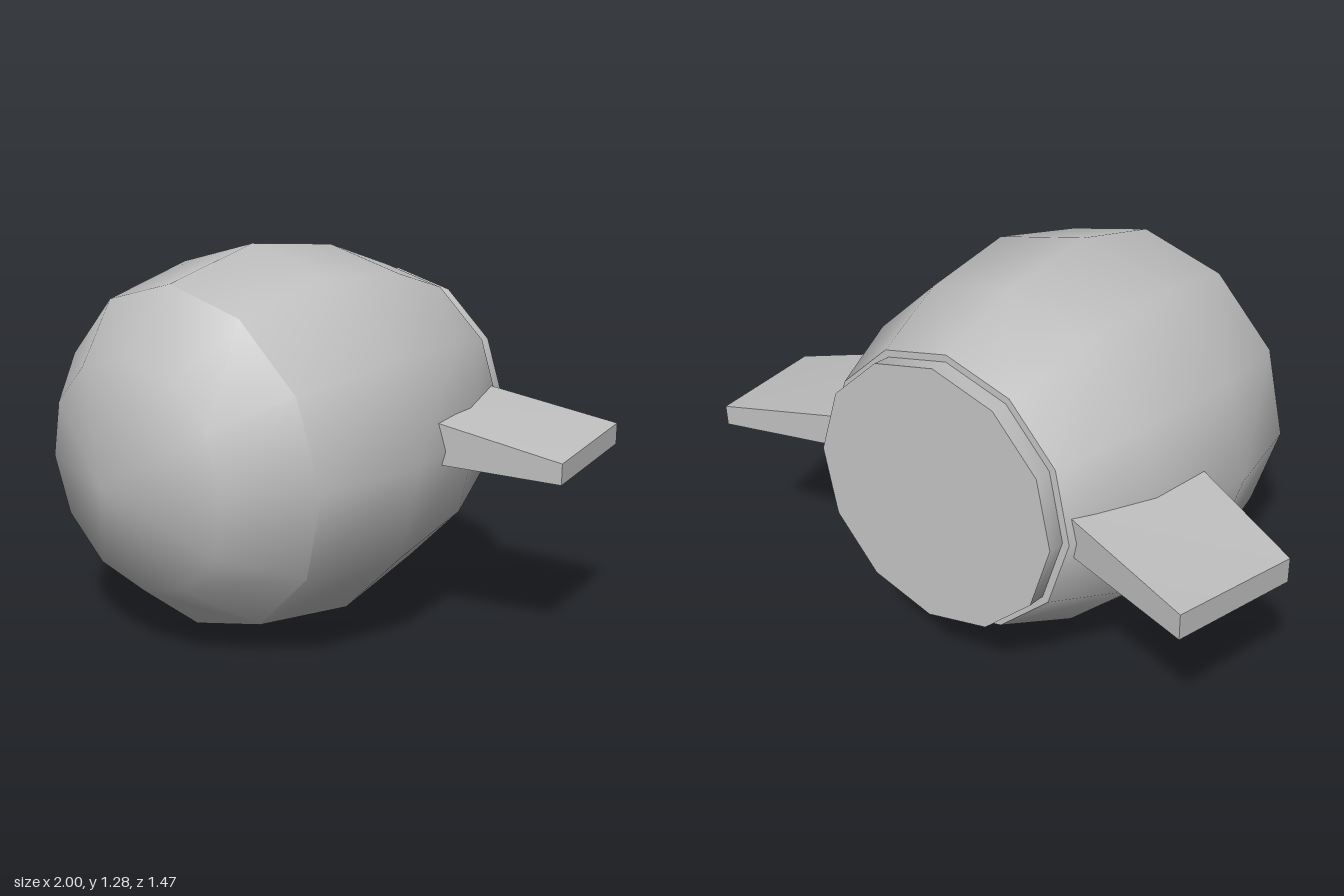
import * as THREE from 'three';
import { mergeVertices } from 'three/addons/utils/BufferGeometryUtils.js';

const metal = new THREE.MeshStandardMaterial({ color: 0xbfbfbf });
metal.name = 'grey';

// Twelve-sided turned shell along z, smooth inside one profile; points are [radius, z], rear to front
function shell(name, points) {
  let geo = new THREE.LatheGeometry(points.map(([r, z]) => new THREE.Vector2(r, z)), 12);
  geo.deleteAttribute('normal');
  geo.deleteAttribute('uv');
  geo = mergeVertices(geo, 1e-4);
  geo.computeVertexNormals();
  geo.rotateX(Math.PI / 2);
  const mesh = new THREE.Mesh(geo, metal);
  mesh.name = name;
  return mesh;
}

// Tapered fin: box corners moved to [x, z, top y, bottom y] for each upright edge
function fin(name, side, drop) {
  const edges = {
    outerFront: [1.0, -0.255, 0.66, 0.592],
    outerBack: [0.91, -0.705, 0.70, 0.63],
    innerFront: [0.5, -0.09, 0.772, 0.618],
    innerBack: [0.4, -0.595, 0.787, 0.665],
  };
  const geo = new THREE.BoxGeometry(1, 1, 1);
  const p = geo.attributes.position;
  for (let i = 0; i < p.count; i++) {
    const key = (p.getX(i) * side > 0 ? 'outer' : 'inner') + (p.getZ(i) > 0 ? 'Front' : 'Back');
    const [x, z, top, bottom] = edges[key];
    p.setXYZ(i, x * side, p.getY(i) > 0 ? top : bottom - drop, z);
  }
  geo.computeVertexNormals();
  const mesh = new THREE.Mesh(geo, metal);
  mesh.name = name;
  return mesh;
}

export function createModel() {
  const model = new THREE.Group();
  model.name = 'finnedPod';

  // Hull, slightly wide and tipped nose-down
  const hull = new THREE.Group();
  hull.name = 'hull';
  hull.position.set(0, 0.643, 0.025);
  hull.rotation.x = THREE.MathUtils.degToRad(5);
  hull.scale.x = 1.053;
  hull.add(
    shell('nose', [[0.572, 0.367], [0.381, 0.58], [0, 0.713]]),
    shell('body', [[0.457, -0.665], [0.577, -0.374], [0.64, 0], [0.572, 0.367]]),
    shell('rearRim', [[0.434, -0.665], [0.457, -0.665]]),
    shell('collar', [[0.434, -0.726], [0.434, -0.665]]),
    shell('rearPlate', [[0, -0.726], [0.434, -0.726]]),
  );
  model.add(hull);

  // Side fins, the right one a little thicker below
  model.add(fin('leftFin', 1, 0), fin('rightFin', -1, 0.018));
  return model;
}
